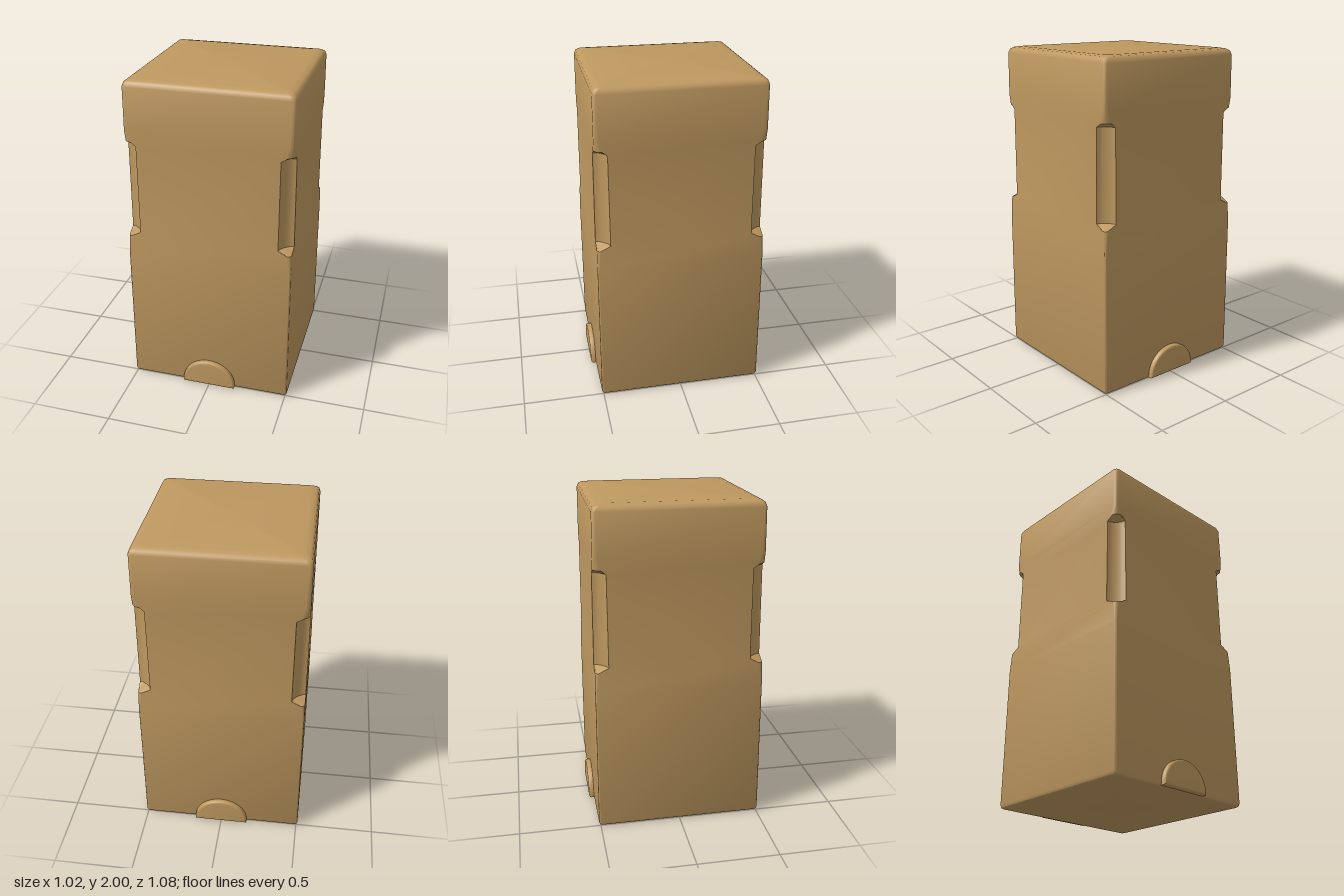
import * as THREE from 'three';
import { toCreasedNormals } from 'three/addons/utils/BufferGeometryUtils.js';

const cardboard = new THREE.MeshStandardMaterial({ color: 0xbe985f });
cardboard.name = 'cardboard tan';

const STEPS = 6; // segments per corner

// One corner of a square of half-width h: convex rounding, or a hollow cut.
function cornerPoint(t, h, r, hollow) {
  if (hollow) {
    const dent = 0.012 * Math.sqrt(Math.max(0, Math.sin(Math.PI * t)));
    return [h - r * t - dent, h - r * (1 - t) - dent];
  }
  const a = t * Math.PI / 2;
  return [h - r + r * Math.cos(a), h - r + r * Math.sin(a)];
}

// Closed body lofted from square cross-sections: [y, half-width, corner size, hollow]
function loft(rings) {
  const pos = [], index = [], n = 4 * (STEPS + 1);
  for (const [y, h, r, hollow] of rings) {
    for (let q = 0; q < 4; q++) {
      for (let i = 0; i <= STEPS; i++) {
        let [x, z] = cornerPoint(i / STEPS, h, r, hollow);
        for (let k = 0; k < q; k++) [x, z] = [-z, x];
        pos.push(x, y, z);
      }
    }
  }
  const last = (rings.length - 1) * n, low = rings.length * n, high = low + 1;
  pos.push(0, rings[0][0], 0, 0, rings[rings.length - 1][0], 0);
  for (let j = 0; j < n; j++) {
    const k = (j + 1) % n;
    for (let o = 0; o < last; o += n) {
      index.push(o + j, o + n + j, o + k, o + k, o + n + j, o + n + k);
    }
    index.push(low, j, k, high, last + k, last + j);
  }
  const g = new THREE.BufferGeometry();
  g.setAttribute('position', new THREE.Float32BufferAttribute(pos, 3));
  g.setIndex(index);
  return toCreasedNormals(g, 0.7);
}

export function createModel() {
  const model = new THREE.Group();
  model.name = 'tallBox';

  // Slightly tapered box with a recessed hand grip cut into each upright edge
  const body = new THREE.Mesh(loft([
    [0.005, 0.495, 0.015, false],
    [0.012, 0.505, 0.015, false],
    [0.028, 0.51, 0.015, false],
    [0.9, 0.507, 0.012, false],
    [1.025, 0.505, 0.025, false],
    [1.055, 0.505, 0.08, true],
    [1.61, 0.501, 0.075, true],
    [1.635, 0.501, 0.048, false],
    [1.7, 0.5, 0.025, false],
    [1.96, 0.498, 0.025, false],
    [1.983, 0.49, 0.027, false],
    [1.994, 0.475, 0.03, false],
    [2, 0.44, 0.03, false],
  ]), cardboard);
  body.name = 'boxBody';
  model.add(body);

  // Half-round tabs at the foot of the front and back
  const halfRound = new THREE.Shape();
  halfRound.absellipse(0, 0.025, 0.157, 0.147, 0, Math.PI, false, 0);
  halfRound.closePath();
  const tabGeometry = toCreasedNormals(new THREE.ExtrudeGeometry(halfRound, {
    depth: 0.04, curveSegments: 24, bevelEnabled: true,
    bevelThickness: 0.012, bevelSize: 0.013, bevelSegments: 3,
  }), 0.7);
  for (const [name, turn] of [['frontTab', 0], ['backTab', Math.PI]]) {
    const tab = new THREE.Mesh(tabGeometry, cardboard);
    tab.name = name;
    tab.rotation.y = turn;
    tab.position.z = 0.488 * Math.cos(turn);
    model.add(tab);
  }

  return model;
}
